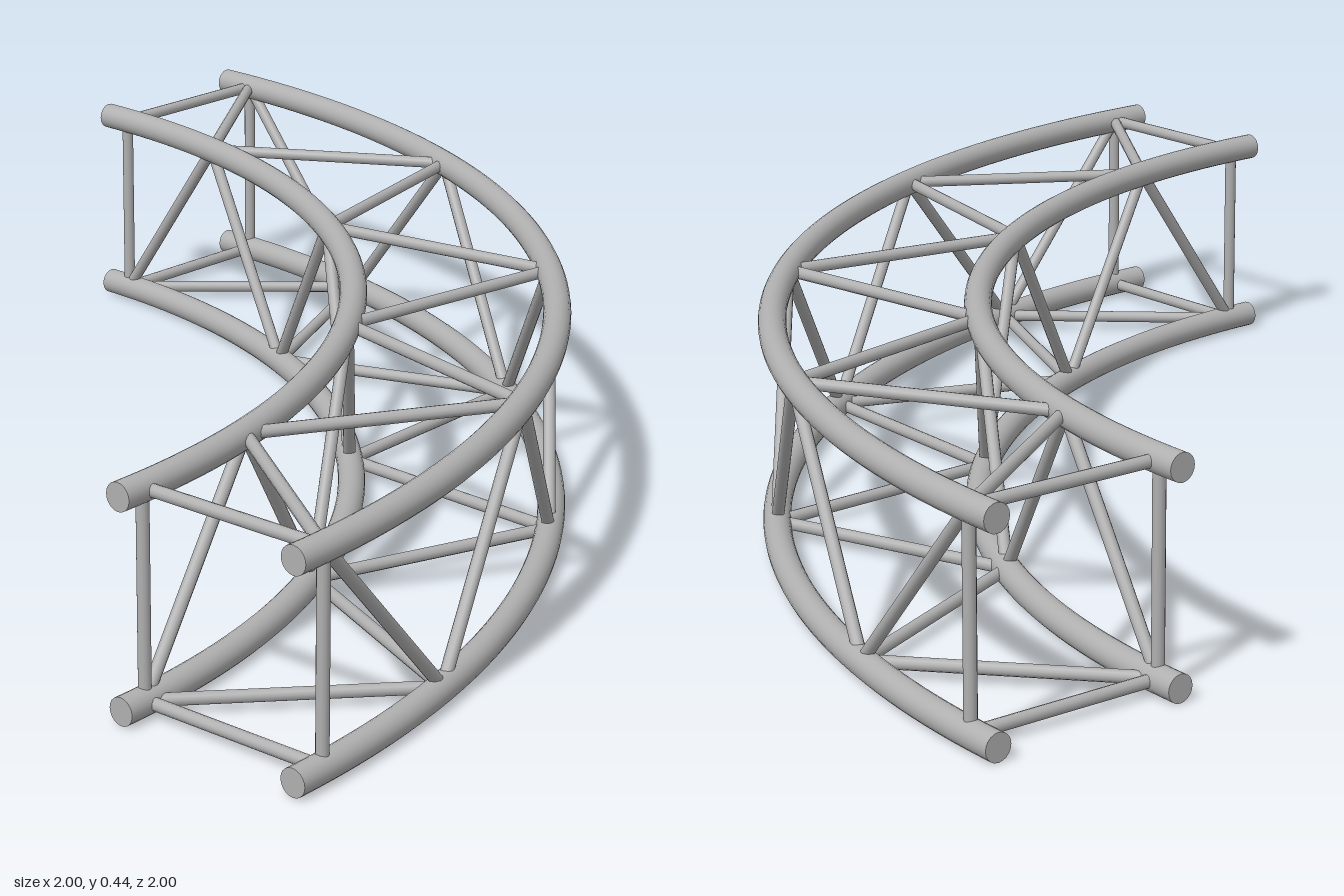
import * as THREE from 'three';

// Quarter-circle box truss: four curved chords joined by zigzag bracing.
const CHORD_R = 0.0265, BRACE_R = 0.012;
const OUTER = 2 - CHORD_R, INNER = 1.586;
const LOW = CHORD_R, HIGH = 0.417;
const BAYS = 8, FIRST = 2.15, LAST = 87.85; // node angles in degrees

export function createModel() {
  const steel = new THREE.MeshStandardMaterial({ color: 0xb0b0b0 });
  steel.name = 'steel grey';
  const truss = new THREE.Group();
  truss.name = 'curvedTruss';

  const add = (parent, name, geometry) => {
    const mesh = new THREE.Mesh(geometry, steel);
    mesh.name = name;
    parent.add(mesh);
    return mesh;
  };

  // Node k on a chord; the arc is centred on (-1, 1) in plan
  const node = (k, radius, y) => {
    const a = THREE.MathUtils.degToRad(FIRST + (LAST - FIRST) * k / BAYS);
    return new THREE.Vector3(-1 + radius * Math.sin(a), y, 1 - radius * Math.cos(a));
  };

  // Straight round bar between two points
  const bar = (name, a, b) => {
    const dir = b.clone().sub(a);
    const mesh = add(truss, name, new THREE.CylinderGeometry(BRACE_R, BRACE_R, dir.length(), 12, 1, true));
    mesh.position.copy(a).add(b).multiplyScalar(0.5);
    mesh.quaternion.setFromUnitVectors(new THREE.Vector3(0, 1, 0), dir.normalize());
  };

  // Main chords with closed ends
  const chord = (name, radius, y) => {
    const group = new THREE.Group();
    group.name = name;
    group.position.set(-1, y, 1);
    add(group, 'chordTube', new THREE.TorusGeometry(radius, CHORD_R, 20, 64, Math.PI / 2).rotateX(-Math.PI / 2));
    add(group, 'frontCap', new THREE.CircleGeometry(CHORD_R, 20)).position.x = radius;
    const side = add(group, 'sideCap', new THREE.CircleGeometry(CHORD_R, 20));
    side.rotation.y = -Math.PI / 2;
    side.position.z = -radius;
    truss.add(group);
  };
  chord('outerTopChord', OUTER, HIGH);
  chord('outerBottomChord', OUTER, LOW);
  chord('innerTopChord', INNER, HIGH);
  chord('innerBottomChord', INNER, LOW);

  // Zigzag braces on all four faces, swapping chords at every node
  for (let k = 0; k < BAYS; k++) {
    const even = k % 2 === 0;
    const pick = (flag, a, b) => (flag ? a : b);
    bar('topBrace', node(k, pick(even, OUTER, INNER), HIGH), node(k + 1, pick(even, INNER, OUTER), HIGH));
    bar('bottomBrace', node(k, pick(even, INNER, OUTER), LOW), node(k + 1, pick(even, OUTER, INNER), LOW));
    bar('outerBrace', node(k, OUTER, pick(even, HIGH, LOW)), node(k + 1, OUTER, pick(even, LOW, HIGH)));
    bar('innerBrace', node(k, INNER, pick(even, LOW, HIGH)), node(k + 1, INNER, pick(even, HIGH, LOW)));
  }

  // Square frames at both ends
  for (const k of [0, BAYS]) {
    for (const y of [LOW, HIGH]) bar('endCrossbar', node(k, INNER, y), node(k, OUTER, y));
    for (const r of [INNER, OUTER]) bar('endPost', node(k, r, LOW), node(k, r, HIGH));
  }
  return truss;
}
